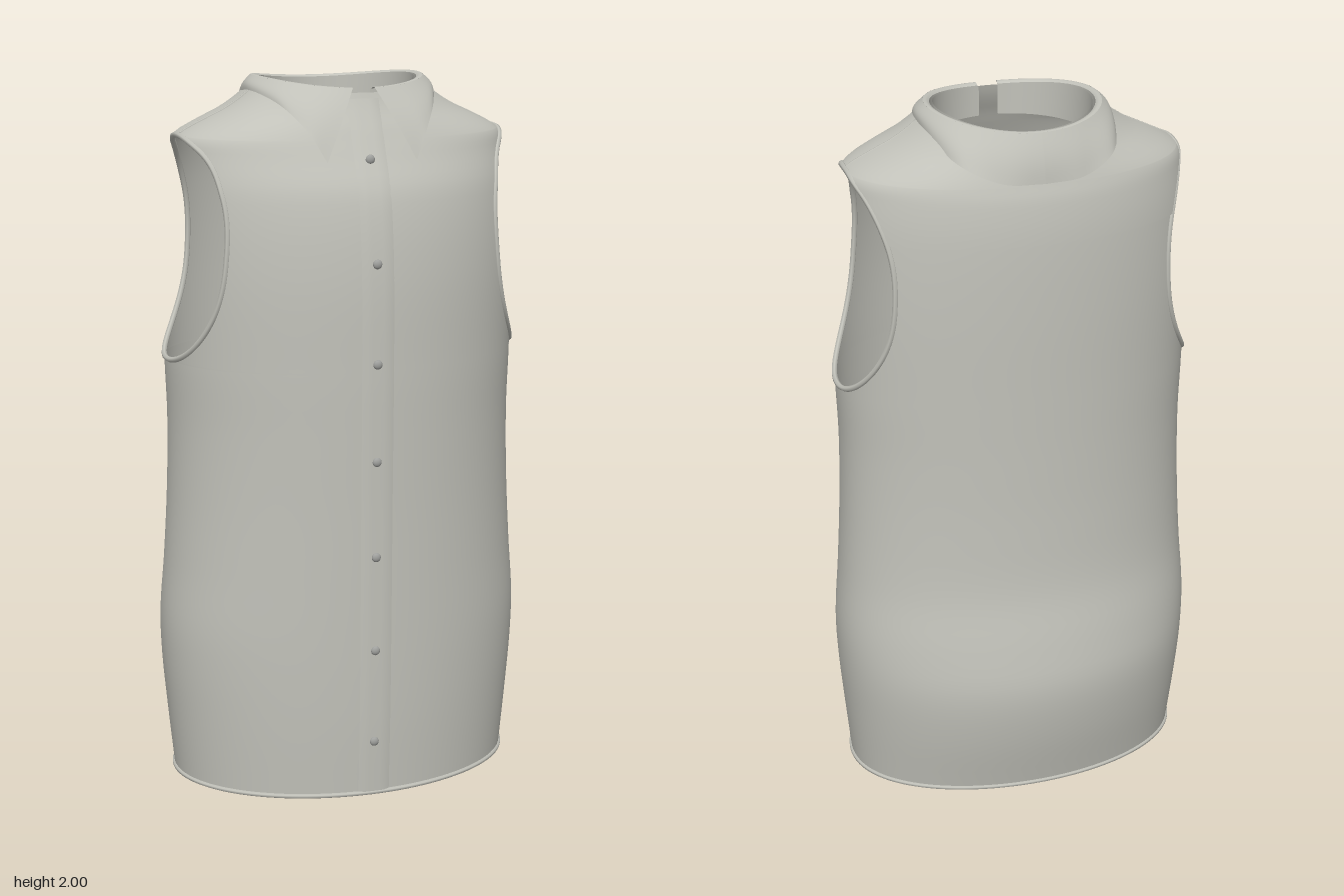
import * as THREE from 'three';
import { mergeGeometries, mergeVertices } from 'three/addons/utils/BufferGeometryUtils.js';

// height, half width, front depth, back depth
const PROFILE = [
  [0.005, 0.492, 0.343, 0.308], [0.2, 0.51, 0.352, 0.352], [0.35, 0.522, 0.356, 0.368],
  [0.48, 0.525, 0.358, 0.352], [0.65, 0.512, 0.36, 0.322], [0.85, 0.5, 0.362, 0.312],
  [1.05, 0.495, 0.365, 0.31], [1.23, 0.5, 0.367, 0.311], [1.5, 0.502, 0.363, 0.313],
  [1.7, 0.49, 0.337, 0.308], [1.8, 0.474, 0.295, 0.296], [1.845, 0.458, 0.275, 0.283],
  [1.88, 0.395, 0.26, 0.272], [1.91, 0.33, 0.245, 0.264], [1.94, 0.282, 0.232, 0.257],
  [1.965, 0.25, 0.224, 0.25],
];

// smooth interpolation of the profile at height y
function section(y) {
  const P = PROFILE, n = P.length;
  let i = 0;
  while (i < n - 2 && y > P[i + 1][0]) i++;
  const h = P[i + 1][0] - P[i][0], s = (y - P[i][0]) / h;
  const slope = (k, c) => {
    const a = P[Math.max(k - 1, 0)], b = P[Math.min(k + 1, n - 1)];
    return (b[c] - a[c]) / (b[0] - a[0]);
  };
  return [1, 2, 3].map((c) =>
    (1 + 2 * s) * (1 - s) ** 2 * P[i][c] + s * (1 - s) ** 2 * h * slope(i, c) +
    s * s * (3 - 2 * s) * P[i + 1][c] + s * s * (s - 1) * h * slope(i + 1, c));
}

// armhole half opening in z at height y
const HOLE_LOW = 1.23, HOLE_HIGH = 1.845;
function opening(y, front) {
  const s = Math.min(1, Math.abs((2 * y - HOLE_LOW - HOLE_HIGH) / (HOLE_HIGH - HOLE_LOW)));
  return (front ? 0.23 : 0.208) * Math.max(0, 1 - s ** 2.3) ** (1 / 2.3);
}

// point on the torso: u runs from the left edge (0) to the right edge (1)
function torsoPoint(u, y, front, offset = 0) {
  const [a, f, b] = section(y);
  const d = front ? f : b, q = front ? 1 : 0.92;
  const t0 = Math.asin((opening(y, front) / d) ** (1 / q));
  const t = t0 + (Math.PI - 2 * t0) * u;
  const z = (d + offset) * Math.max(0, Math.sin(t)) ** q;
  return new THREE.Vector3((a + offset) * Math.cos(t), y, front ? z : -z);
}

function grid(nu, nv, f, flip = false) {
  const pos = [], idx = [];
  for (let j = 0; j <= nv; j++)
    for (let i = 0; i <= nu; i++) pos.push(...f(i / nu, j / nv, j).toArray());
  for (let j = 0; j < nv; j++)
    for (let i = 0; i < nu; i++) {
      const a = j * (nu + 1) + i, b = a + 1, c = a + nu + 1, d = c + 1;
      if (flip) idx.push(a, b, c, b, d, c);
      else idx.push(a, c, b, b, c, d);
    }
  const g = new THREE.BufferGeometry();
  g.setAttribute('position', new THREE.Float32BufferAttribute(pos, 3));
  g.setIndex(idx);
  g.computeVertexNormals();
  return g;
}

export function createModel() {
  const shirt = new THREE.Group();
  shirt.name = 'sleevelessShirt';
  const cloth = new THREE.MeshStandardMaterial({ color: 0xc2c2ba, side: THREE.DoubleSide });
  cloth.name = 'cloth';
  const buttonGrey = new THREE.MeshStandardMaterial({ color: 0xa0a19e });
  buttonGrey.name = 'buttonGrey';
  const add = (name, geometry, material = cloth) => {
    const mesh = new THREE.Mesh(geometry, material);
    mesh.name = name;
    shirt.add(mesh);
    return mesh;
  };
  const tube = (name, points, radius, closed) => add(name, new THREE.TubeGeometry(
    new THREE.CatmullRomCurve3(points, closed), points.length * 2, radius, 6, closed));

  // rows: even below the armholes, bunched at both ends of them, then the shoulders
  const rows = [], holeRows = [];
  for (let i = 0; i < 36; i++) rows.push(0.005 + (HOLE_LOW - 0.005) * i / 36);
  for (let i = 0; i <= 32; i++)
    holeRows.push(HOLE_LOW + (HOLE_HIGH - HOLE_LOW) * (1 - Math.cos(Math.PI * i / 32)) / 2);
  rows.push(...holeRows);
  for (let i = 1; i <= 10; i++) rows.push(HOLE_HIGH + (1.965 - HOLE_HIGH) * i / 10);

  // torso: front and back panels welded at the side and shoulder seams
  const panels = [true, false].map((front) =>
    grid(64, rows.length - 1, (u, v, j) => torsoPoint(u, rows[j], front), front));
  panels.forEach((g) => g.deleteAttribute('normal'));
  const torso = mergeVertices(mergeGeometries(panels), 1e-5);
  torso.computeVertexNormals();
  add('torso', torso);

  // back yoke: a slightly raised layer across the shoulder blades
  const yokeRows = [1.69, ...rows.filter((y) => y > 1.695)];
  add('backYoke', grid(64, yokeRows.length - 1,
    (u, v, j) => torsoPoint(u, yokeRows[j], false, 0.005)));

  // button placket down the front
  add('placket', grid(6, 60, (u, v) => {
    const y = 0.01 + 1.94 * v, [a, f] = section(y), x = -0.05 + 0.09 * u;
    const edge = u === 0 || u === 1 ? 0 : 0.004;
    return new THREE.Vector3(x, y, f * Math.sqrt(1 - (x / a) ** 2) + edge);
  }, true));

  // buttons
  for (let i = 0; i < 7; i++) {
    const y = 0.17 + 0.271 * i, [, f] = section(y);
    const button = add('button', new THREE.SphereGeometry(0.013, 14, 10), buttonGrey);
    button.position.set(-0.008, y, f + 0.005);
    button.scale.z = 0.6;
  }

  // hem roll
  const hem = [];
  for (let i = 0; i < 64; i++)
    hem.push(torsoPoint((i % 32) / 32, 0.012, i < 32).multiply(
      new THREE.Vector3(i < 32 ? 1 : -1, 1, 1)));
  tube('hem', hem, 0.007, true);

  // armhole bindings and shoulder seams on both sides
  for (const [side, u] of [['left', 0], ['right', 1]]) {
    const edge = [
      ...holeRows.map((y) => torsoPoint(u, y, true)),
      ...holeRows.slice(1, -1).reverse().map((y) => torsoPoint(u, y, false)),
    ];
    tube(side + 'ArmholeBinding', edge, 0.008, true);
    const seam = [];
    for (let i = 0; i <= 8; i++) seam.push(torsoPoint(u, 1.85 + 0.112 * i / 8, true));
    tube(side + 'ShoulderSeam', seam, 0.004, false);
  }

  // collar stand: inner band, open at the throat
  const rimHeight = (phi) => 1.977 + 0.022 * Math.sin(phi) ** 2;
  const ring = (phi, rx, y, zc, rz) =>
    new THREE.Vector3(rx * Math.sin(phi), y, zc + rz * Math.cos(phi));
  for (const [name, r] of [['collarStandInside', 0.213], ['collarStandOutside', 0.221]])
    add(name, grid(64, 2, (u, v) => {
      const phi = 0.13 + (2 * Math.PI - 0.26) * u;
      return ring(phi, r, 1.89 + (rimHeight(phi) - 0.004 - 1.89) * v, -0.018, r);
    }, true));

  // folded collar: two mirrored leaves, pointed in front and deeper at the back
  const lowerEdge = new THREE.CatmullRomCurve3([
    [0.125, 1.79, 0.298], [0.165, 1.865, 0.262], [0.215, 1.93, 0.176], [0.263, 1.962, 0],
    [0.212, 1.9, -0.232], [0.11, 1.857, -0.288], [0, 1.85, -0.297],
  ].map((p) => new THREE.Vector3(...p)));
  for (const [side, sign] of [['left', 1], ['right', -1]])
    add(side + 'CollarLeaf', grid(48, 10, (u, v) => {
      const phi = 0.13 + (Math.PI - 0.13) * u;
      const p = ring(phi, 0.238, rimHeight(phi), -0.018, 0.242);
      p.lerp(lowerEdge.getPoint(u), v);
      const bulge = 0.008 * Math.sin(Math.PI * v);
      p.x += bulge * Math.sin(phi);
      p.z += bulge * Math.cos(phi);
      p.x *= sign;
      return p;
    }, sign < 0));

  // rolled rim joining the stand to the folded collar
  add('collarRim', grid(64, 6, (u, v) => {
    const phi = 0.13 + (2 * Math.PI - 0.26) * u, r = 0.221 + 0.017 * v;
    return ring(phi, r, rimHeight(phi) - 0.004 * (1 - v) + 0.003 * Math.sin(Math.PI * v),
      -0.018, 0.221 + 0.021 * v);
  }, true));

  return shirt;
}
